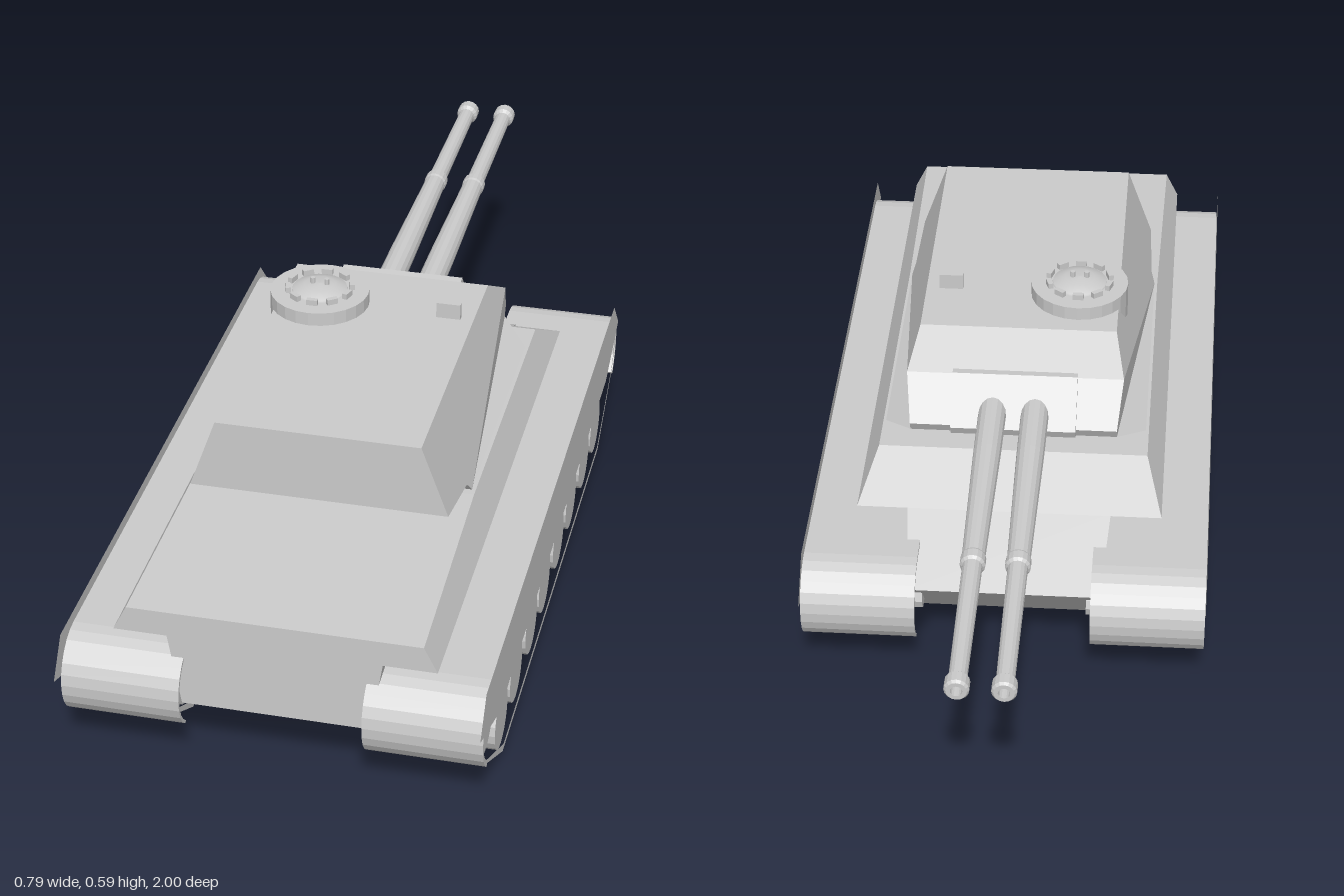
import * as THREE from 'three';

const material = new THREE.MeshStandardMaterial({ color: 0xcccccc, flatShading: true });
const smooth = new THREE.MeshStandardMaterial({ color: 0xcccccc });
const sheet = new THREE.MeshStandardMaterial({ color: 0xcccccc, side: THREE.DoubleSide, flatShading: true });

const toShape = (pts) => new THREE.Shape(pts.map(([z, y]) => new THREE.Vector2(z, y)));

// Extrude a (z, y) side profile across x0..x1
function slab(shape, x0, x1) {
  const g = new THREE.ExtrudeGeometry(shape, { depth: x1 - x0, bevelEnabled: false });
  return g.rotateY(-Math.PI / 2).translate(x1, 0, 0);
}

// Symmetric body: a side profile whose half width follows a rule of (y, z)
function taperedBody(profile, halfWidth) {
  const g = slab(toShape(profile), -1, 1);
  const p = g.attributes.position;
  for (let i = 0; i < p.count; i++) {
    p.setX(i, Math.sign(p.getX(i)) * halfWidth(p.getY(i), p.getZ(i)));
  }
  g.computeVertexNormals();
  return g;
}

function arc(cz, cy, r, from, to, n = 10) {
  return Array.from({ length: n + 1 }, (_, i) => {
    const a = THREE.MathUtils.degToRad(from + ((to - from) * i) / n);
    return [cz + r * Math.cos(a), cy + r * Math.sin(a)];
  });
}

export function createModel() {
  const model = new THREE.Group();
  const add = (name, geometry, mat = material, parent = model) => {
    const m = new THREE.Mesh(geometry, mat);
    m.name = name;
    parent.add(m);
    return m;
  };
  const cylinderX = (r, x0, x1, y, z, n = 20) =>
    new THREE.CylinderGeometry(r, r, x1 - x0, n).rotateZ(Math.PI / 2).translate((x0 + x1) / 2, y, z);

  // Hull: tapered tub below, wide sloped superstructure above
  add('lowerHull', taperedBody(
    [[0.925, 0.287], [0.925, 0.14], [0.85, 0.1], [-0.36, 0.1], [-0.45, 0.205], [-0.29, 0.289]],
    (y) => 0.17 + (y - 0.1) * 0.16));
  add('upperHull', taperedBody(
    [[0.925, 0.287], [0.925, 0.338], [0.45, 0.353], [-0.18, 0.353], [-0.295, 0.287]],
    (y) => 0.3 - (y - 0.287) * 0.5));

  // Running gear, built for both sides
  const wheelZ = [0.755, 0.61, 0.455, 0.315, 0.16, 0.015, -0.14, -0.28];
  const endZ = [0.88, -0.41];
  for (const side of [1, -1]) {
    const gear = new THREE.Group();
    gear.name = side > 0 ? 'leftRunningGear' : 'rightRunningGear';
    model.add(gear);
    const range = (a, b) => (side > 0 ? [a, b] : [-b, -a]);

    // Thin closed track belt
    const loop = [...arc(0.88, 0.168, 0.083, 90, -50), [0.76, 0], [-0.3, 0],
      ...arc(-0.41, 0.168, 0.083, 230, 90)];
    const belt = toShape(loop);
    belt.holes.push(new THREE.Path(loop.map(([z, y]) =>
      new THREE.Vector2(0.235 + (z - 0.235) * 0.985, 0.127 + (y - 0.127) * 0.91))));
    add('track', slab(belt, ...range(0.208, 0.39)), material, gear);

    // Fender wrapped around both ends of the track
    const bend = (r) => [...arc(0.88, 0.168, r, -55, 90), ...arc(-0.41, 0.168, r, 90, 235)];
    add('fender', slab(toShape([...bend(0.087), ...bend(0.081).reverse()]), ...range(0.17, 0.392)), material, gear);

    // Thin side skirt
    const skirt = new THREE.ShapeGeometry(toShape(
      [[1, 0.205], [0.95, 0.275], [-0.44, 0.275], [-0.51, 0.2], [-0.36, 0.137], [0.82, 0.137]]));
    add('skirt', skirt.rotateY(-Math.PI / 2).translate(side * 0.393, 0, 0), sheet, gear);

    // Paired road wheels with axles, then the end wheels
    for (const z of wheelZ) {
      add('roadWheel', cylinderX(0.061, ...range(0.325, 0.385), 0.075, z), material, gear);
      add('innerRoadWheel', cylinderX(0.061, ...range(0.22, 0.275), 0.075, z), material, gear);
      add('axle', cylinderX(0.025, ...range(0.16, 0.33), 0.085, z, 8), material, gear);
    }
    for (const z of endZ) {
      add('endWheel', cylinderX(0.073, ...range(0.325, 0.38), 0.168, z, 24), material, gear);
      add('innerEndWheel', cylinderX(0.073, ...range(0.22, 0.275), 0.168, z, 24), material, gear);
      add('endAxle', cylinderX(0.03, ...range(0.16, 0.33), 0.168, z, 10), material, gear);
    }
  }

  // Turret with sloped sides, narrowed nose and overhanging bustle
  add('turret', taperedBody(
    [[0.595, 0.395], [0.595, 0.538], [-0.02, 0.538], [-0.11, 0.485], [-0.175, 0.405],
      [-0.165, 0.385], [-0.1, 0.357], [0.44, 0.357], [0.455, 0.377]],
    (y, z) => (z < -0.15 ? 0.205 : 0.196 + (0.538 - y) * 0.36)));
  add('mantlet', taperedBody(
    [[-0.1, 0.39], [-0.1, 0.49], [-0.118, 0.492], [-0.188, 0.408], [-0.18, 0.39]], () => 0.124));

  // Twin guns: stepped, tapering barrels with a muzzle collar
  const barrel = [[0, -0.1], [0.028, -0.1], [0.027, -0.3], [0.022, -0.62], [0.024, -0.625], [0.024, -0.645],
    [0.019, -0.65], [0.017, -0.965], [0.023, -0.972], [0.023, -0.995], [0.019, -1], [0.011, -1], [0.011, -0.95], [0, -0.95]];
  for (const x of [0.042, -0.042]) {
    const g = new THREE.LatheGeometry(barrel.map(([r, z]) => new THREE.Vector2(r, -z)), 16);
    add('gunBarrel', g.rotateX(-Math.PI / 2).translate(x, 0.429, 0), material);
  }

  // Commander's cupola with a domed hatch, periscopes and handles
  const cupola = new THREE.Group();
  cupola.name = 'cupola';
  cupola.position.set(-0.115, 0, 0.115);
  model.add(cupola);
  add('cupolaRing', new THREE.CylinderGeometry(0.098, 0.098, 0.075, 24).translate(0, 0.528, 0), material, cupola);
  add('hatch', new THREE.LatheGeometry(
    [[0.056, 0.563], [0.054, 0.569], [0.03, 0.577], [0, 0.579]].map(([r, y]) => new THREE.Vector2(r, y)), 20),
    smooth, cupola);
  for (let i = 0; i < 10; i++) {
    const g = new THREE.BoxGeometry(0.022, 0.014, 0.01).translate(0, 0.57, 0.063).rotateY((i * Math.PI) / 5);
    add('periscope', g, material, cupola);
  }
  for (const x of [0.014, -0.014]) {
    add('hatchHandle', new THREE.CylinderGeometry(0.005, 0.005, 0.018, 8).translate(x, 0.581, 0), material, cupola);
  }

  // Roof sight
  add('roofSight', new THREE.BoxGeometry(0.048, 0.036, 0.012).translate(0.146, 0.552, 0.12));
  return model;
}
